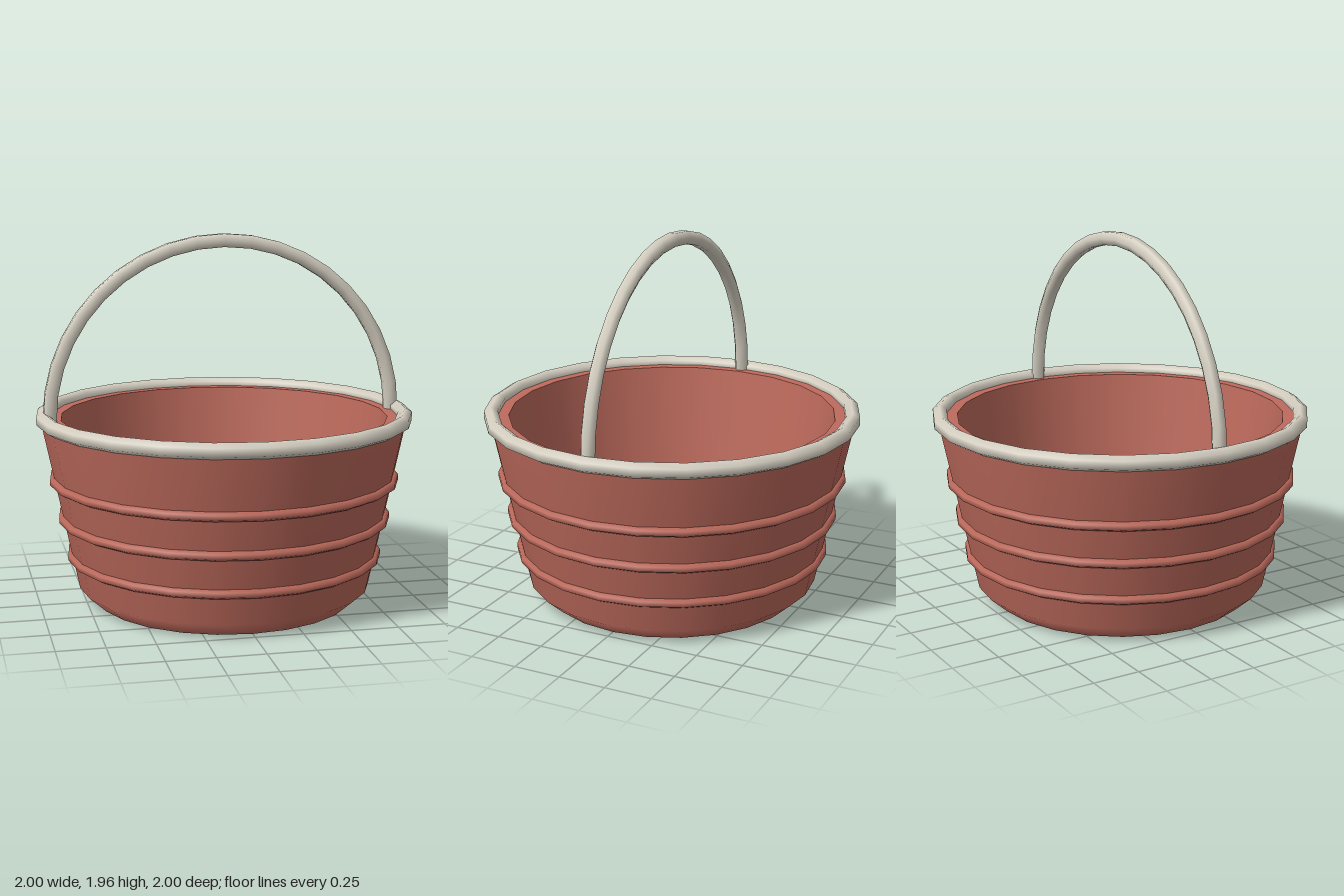
import * as THREE from 'three';
import { mergeGeometries, mergeVertices } from 'three/addons/utils/BufferGeometryUtils.js';

const SIDES = 24;

// Hexagonal bar swept round the y axis, with smooth normals
function hexRing(radius, bar, segments = SIDES, start = 0, sweep = Math.PI * 2) {
  const profile = [];
  for (let i = 0; i <= 6; i++) {
    const a = Math.PI / 6 + (i % 6) * Math.PI / 3;
    profile.push(new THREE.Vector2(radius + bar * Math.cos(a), bar * Math.sin(a)));
  }
  const geometry = new THREE.LatheGeometry(profile, segments, start, sweep);
  geometry.deleteAttribute('normal');
  geometry.deleteAttribute('uv');
  const welded = mergeVertices(geometry, 1e-5);
  welded.computeVertexNormals();
  return welded;
}

export function createModel() {
  const model = new THREE.Group();
  model.name = 'basket';
  const clay = new THREE.MeshStandardMaterial({ color: 0xbd6a5c });
  clay.name = 'clay red';
  const cream = new THREE.MeshStandardMaterial({ color: 0xd8d2c4 });
  cream.name = 'cream';

  const add = (name, geometry, material, y = 0) => {
    const mesh = new THREE.Mesh(geometry, material);
    mesh.name = name;
    mesh.position.y = y;
    model.add(mesh);
  };

  // Hollow body: each profile section is smooth, with sharp edges between them
  const sections = [
    [[0, 0], [0.695, 0]],                          // underside
    [[0.695, 0], [0.785, 0.08], [0.977, 0.995]],   // chamfer and outer wall
    [[0.977, 0.995], [0.87, 0.995]],               // lip
    [[0.87, 0.995], [0.74, 0.08]],                 // inner wall
    [[0.74, 0.08], [0, 0.08]],                     // floor
  ];
  add('body', mergeGeometries(sections.map((points) =>
    new THREE.LatheGeometry(points.map(([r, y]) => new THREE.Vector2(r, y)), SIDES))), clay);

  // Raised bands round the wall
  [[0.25, 0.824], [0.457, 0.869], [0.665, 0.913]].forEach(([y, radius], i) =>
    add(`band${i + 1}`, hexRing(radius, 0.025), clay, y));

  // Thick rim
  add('rim', hexRing(0.963, 0.0425), cream, 0.998);

  // Half-circle carrying handle, its ends sunk into the rim
  const arch = hexRing(0.93, 0.04, 20, -Math.PI / 2, Math.PI);
  arch.rotateX(-Math.PI / 2);
  add('handle', arch, cream, 0.993);

  return model;
}
